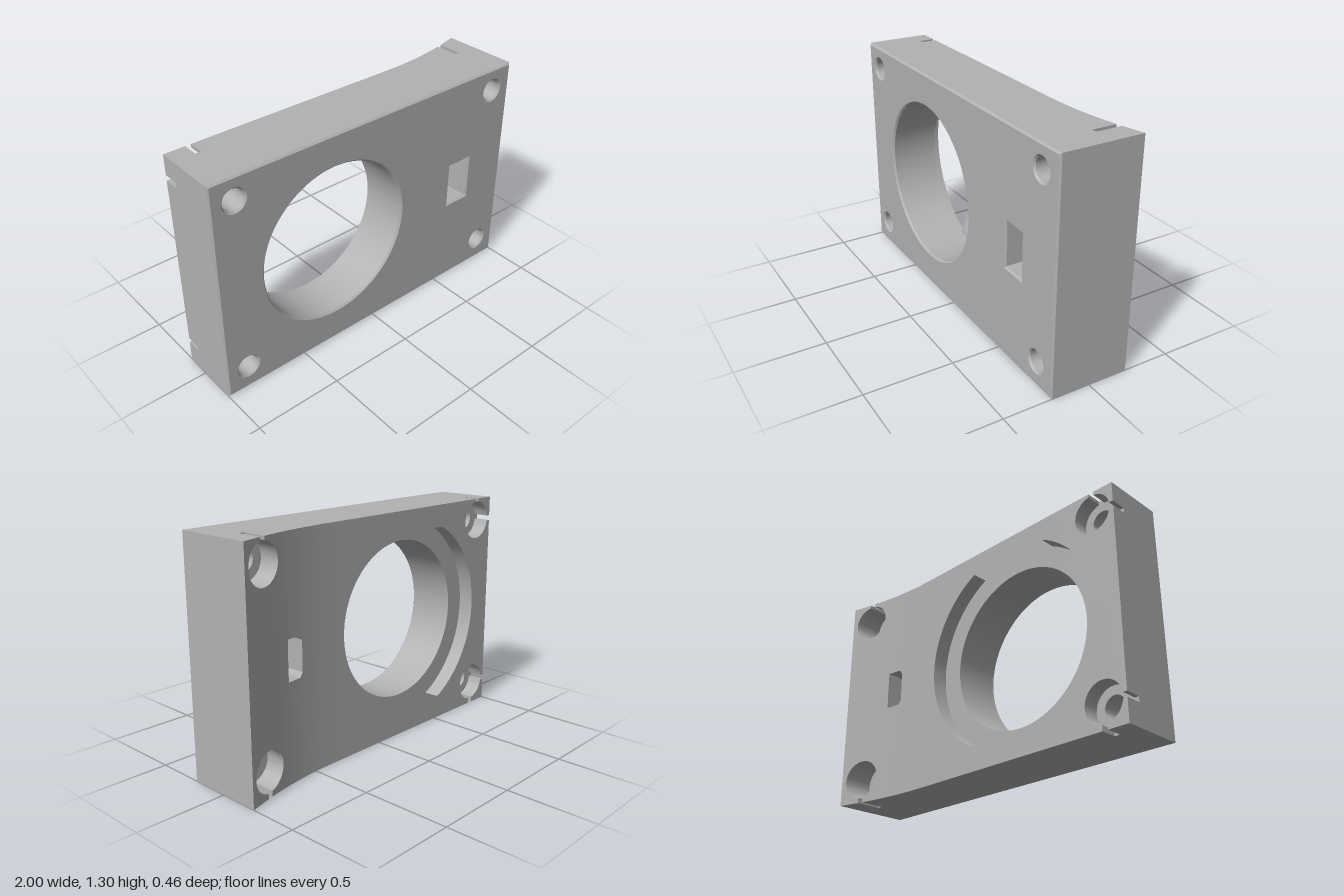
import * as THREE from 'three';
import { toCreasedNormals } from 'three/addons/utils/BufferGeometryUtils.js';

const H = 1.3, FRONT = 0.23, FLOOR = -0.05, BEVEL = 0.01, EPS = 0.001;
const RING = { x: -0.27, y: 0.655, r: 0.46, back: 0.58 };
const BOLT = { xs: [-0.867, 0.862], ys: [0.14, 1.172], r: 0.06, back: 0.11, slot: 0.015 };
const WINDOW = { x0: 0.59, x1: 0.695, y: 0.66, half: 0.11 };

// front layer: bevelled plate with the through holes
function frontPlate() {
  const rect = (P, x0, y0, x1, y1) => {
    const p = new P();
    p.moveTo(x0, y0).lineTo(x1, y0).lineTo(x1, y1).lineTo(x0, y1).closePath();
    return p;
  };
  const circle = (x, y, r) => new THREE.Path().absarc(x, y, r, 0, Math.PI * 2, true);
  const shape = rect(THREE.Shape, -1, 0, 1, H);
  shape.holes.push(circle(RING.x, RING.y, RING.r));
  for (const x of BOLT.xs) for (const y of BOLT.ys) shape.holes.push(circle(x, y, BOLT.r));
  shape.holes.push(rect(THREE.Path, 0.568, 0.53, 0.715, 0.787));
  const geo = new THREE.ExtrudeGeometry(shape, {
    depth: FRONT - FLOOR - BEVEL, curveSegments: 40, bevelEnabled: true,
    bevelSegments: 1, bevelSize: BEVEL, bevelThickness: BEVEL, bevelOffset: -BEVEL,
  });
  // flatten the rear bevel so that it becomes part of the counterbore floor
  const p = geo.attributes.position;
  for (let i = 0; i < p.count; i++) p.setZ(i, Math.max(p.getZ(i), 0) + FLOOR);
  return toCreasedNormals(geo, 0.5);
}

// rear surface: flat, then flaring backwards towards +x
const backZ = (x) => -0.14 - 0.09 * Math.max(0, (x - 0.4) / 0.6) ** 2;
const chord = (x, c, r) => Math.sqrt(Math.max(0, r * r - (x - c) ** 2));

// solid [bottom, top] bands of the rear layer at a given x
function bandsAt(x) {
  const cx = BOLT.xs[x < 0 ? 0 : 1];
  let bolt = chord(x, cx, BOLT.back);
  if (x < BOLT.xs[0]) bolt = Math.max(bolt, BOLT.slot); // slots open to the -x side
  const open = Math.abs(x - cx) <= BOLT.slot + 1e-6;    // slots open to top and bottom
  let mid = chord(x, RING.x, RING.back), midY = RING.y;
  if (x > 0.4) {
    midY = WINDOW.y;
    mid = x > WINDOW.x0 - 1e-6 && x < WINDOW.x1 + 1e-6
      ? Math.min(WINDOW.half, WINDOW.half - 0.025 + (x - WINDOW.x0) * 1.4) : 0;
  }
  const [low, high] = BOLT.ys;
  return [
    [0, open ? 0 : low - bolt], [low + bolt, midY - mid],
    [midY + mid, high - bolt], [open ? H : high + bolt, H],
  ];
}

// rear layer: columns of quads following the counterbores, slots and flare
function rearLayer() {
  const cuts = [-1, 1, 0.4, WINDOW.x0 - EPS, WINDOW.x0, WINDOW.x0 + 0.018, WINDOW.x1, WINDOW.x1 + EPS];
  const sample = (c, r, n) => {
    for (let i = 0; i <= n; i++) cuts.push(c - r * Math.cos((Math.PI * i) / n));
  };
  sample(RING.x, RING.back, 48);
  for (const c of BOLT.xs) {
    sample(c, BOLT.back, 15);
    for (const s of [-1, 1]) cuts.push(c + s * BOLT.slot, c + s * (BOLT.slot + EPS));
  }
  for (let x = 0.45; x < 1; x += 0.04) cuts.push(x);
  const xs = cuts.sort((a, b) => a - b).filter((x, i) => i === 0 || x - cuts[i - 1] > 1e-5);

  const pos = [];
  const quad = (a, b, c, d) => pos.push(...a, ...b, ...c, ...a, ...c, ...d);
  for (let i = 0; i < xs.length - 1; i++) {
    const l = xs[i], r = xs[i + 1], zl = backZ(l), zr = backZ(r);
    const L = bandsAt(l), R = bandsAt(r);
    for (let k = 0; k < 4; k++) {
      const [l0, l1] = L[k], [r0, r1] = R[k];
      if (l1 - l0 < 1e-6 && r1 - r0 < 1e-6) continue;
      quad([l, l0, zl], [l, l1, zl], [r, r1, zr], [r, r0, zr]);
      // walls, left out where the neighbouring band touches
      const gap = (a, b) => a === undefined || b === undefined || Math.abs(a - b) > 1e-6;
      if (gap(l1, L[k + 1]?.[0]) || gap(r1, R[k + 1]?.[0]))
        quad([l, l1, zl], [l, l1, FLOOR], [r, r1, FLOOR], [r, r1, zr]);
      if (gap(l0, L[k - 1]?.[1]) || gap(r0, R[k - 1]?.[1]))
        quad([l, l0, zl], [r, r0, zr], [r, r0, FLOOR], [l, l0, FLOOR]);
      // outer ends
      if (i === 0) quad([l, l0, zl], [l, l0, FLOOR], [l, l1, FLOOR], [l, l1, zl]);
      if (i === xs.length - 2) quad([r, r0, zr], [r, r1, zr], [r, r1, FLOOR], [r, r0, FLOOR]);
    }
  }
  const geo = new THREE.BufferGeometry();
  geo.setAttribute('position', new THREE.Float32BufferAttribute(pos, 3));
  return toCreasedNormals(geo, 0.5);
}

export function createModel() {
  const grey = new THREE.MeshStandardMaterial({ color: 0xb2b2b2 });
  grey.name = 'plain grey';
  const group = new THREE.Group();
  group.name = 'mountingPlate';
  const add = (name, geo) => {
    const mesh = new THREE.Mesh(geo, grey);
    mesh.name = name;
    group.add(mesh);
  };
  add('frontPlate', frontPlate());
  add('rearCounterboredLayer', rearLayer());
  return group;
}
